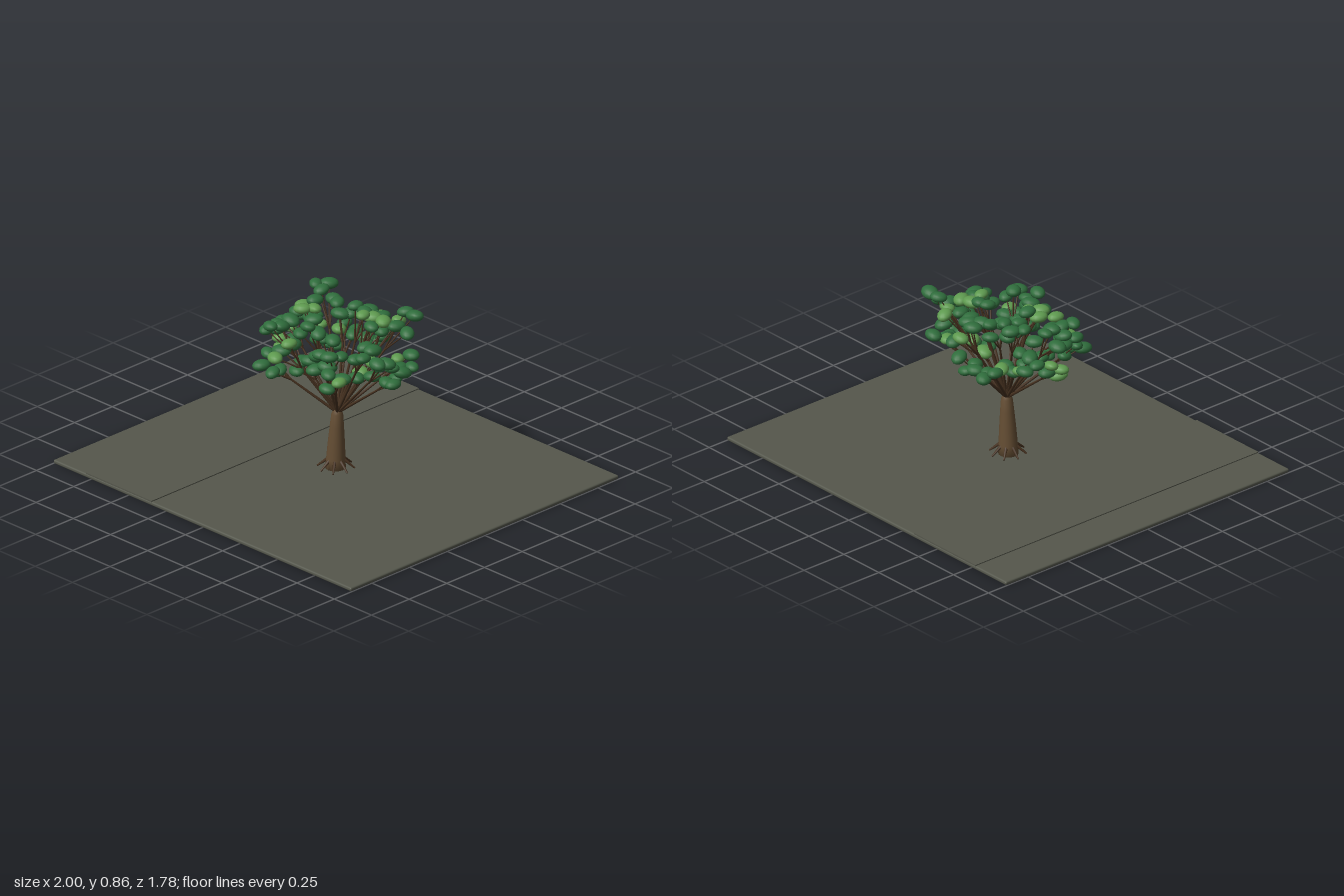
import * as THREE from 'three';
import { RoundedBoxGeometry } from 'three/addons/geometries/RoundedBoxGeometry.js';

const mat = (name, color) => Object.assign(new THREE.MeshStandardMaterial({ color }), { name });
const V = (x, y, z) => new THREE.Vector3(x, y, z);

export function createModel() {
  const tree = new THREE.Group();
  tree.name = 'treeOnGround';
  const soil = mat('grey soil', 0x55574c);
  const bark = mat('trunk bark', 0x644d33);
  const wood = mat('dark branch wood', 0x46311f);
  const darkLeaf = mat('dark green leaf', 0x2f6d3c);
  const lightLeaf = mat('light green leaf', 0x5e9a4f);

  const add = (name, geometry, material, parent = tree) => {
    const mesh = new THREE.Mesh(geometry, material);
    mesh.name = name;
    parent.add(mesh);
    return mesh;
  };
  const group = (name) => {
    const g = new THREE.Group();
    g.name = name;
    tree.add(g);
    return g;
  };
  // Tapered stick between two points
  const stick = (name, a, b, ra, rb, parent) => {
    const dir = b.clone().sub(a);
    const mesh = add(name, new THREE.CylinderGeometry(rb, ra, dir.length(), 7), wood, parent);
    mesh.position.copy(a).lerp(b, 0.5);
    mesh.quaternion.setFromUnitVectors(V(0, 1, 0), dir.normalize());
  };
  let seed = 11;
  const rand = () => (seed = (seed * 16807) % 2147483647) / 2147483647;
  const spread = (r) => (rand() * 2 - 1) * r;

  // Ground slab with a slightly raised strip
  add('ground', new RoundedBoxGeometry(2, 0.02, 1.78, 2, 0.008), soil).position.y = 0.01;
  add('raisedStrip', new THREE.BoxGeometry(0.44, 0.012, 1.775), soil).position.set(-0.56, 0.019, 0);

  // Trunk, leaning slightly as it rises
  const profile = [[0, 0.015], [0.049, 0.015], [0.046, 0.07], [0.041, 0.15], [0.034, 0.24],
    [0.028, 0.305], [0.012, 0.335], [0, 0.337]].map(([r, y]) => new THREE.Vector2(r, y));
  const trunk = new THREE.LatheGeometry(profile, 16);
  const p = trunk.attributes.position;
  for (let i = 0; i < p.count; i++) p.setX(i, p.getX(i) - 0.004 + 0.04 * p.getY(i));
  trunk.computeVertexNormals();
  add('trunk', trunk, bark);

  // Surface roots around the base
  const roots = group('roots');
  for (let i = 0; i < 8; i++) {
    const a = (i / 8) * Math.PI * 2 + 0.15;
    const at = (r, y) => V(Math.cos(a) * r, y, Math.sin(a) * r);
    stick('root', at(0.036, 0.068), at(0.09, 0.024), 0.009, 0.004, roots);
  }

  // Leaf clusters: x, y, z, and how many of the four tufts are light
  const clusters = [
    [-0.16, 0.82, 0.02, 3], [0.15, 0.82, -0.09, 3], [0.17, 0.74, -0.19, 2], [-0.35, 0.59, 0, 3],
    [0.15, 0.55, -0.05, 2], [-0.31, 0.66, -0.15, 1], [-0.18, 0.61, -0.26, 1], [0.03, 0.72, -0.25, 1],
    [-0.14, 0.66, 0.2, 2], [-0.24, 0.81, -0.17, 0], [-0.28, 0.72, 0.05, 0], [-0.26, 0.7, 0.15, 0],
    [-0.2, 0.57, 0.24, 0], [-0.08, 0.77, -0.14, 0], [0.04, 0.81, -0.14, 0], [-0.03, 0.6, -0.28, 0],
    [0.27, 0.81, -0.2, 0], [0.27, 0.61, -0.19, 1], [0.34, 0.57, -0.06, 0], [0.34, 0.66, 0.01, 0],
    [0.26, 0.72, 0.07, 0], [0.21, 0.59, 0.22, 1], [0.16, 0.75, 0.19, 0], [0.06, 0.62, 0.15, 0],
    [-0.03, 0.79, 0.14, 0], [-0.1, 0.56, 0.1, 0], [-0.17, 0.59, -0.1, 0],
  ];
  const branches = group('branches');
  const leaves = group('leaves');
  const tuft = new THREE.SphereGeometry(1, 14, 10);
  const fork = V(0.009, 0.31, 0);
  const clamp = THREE.MathUtils.clamp;
  clusters.forEach(([x, y, z, light], c) => {
    const centre = V(x, y, z);
    const split = fork.clone().lerp(centre, 0.68);
    stick('branch', fork, split, 0.008, 0.005, branches);
    for (let i = 0; i < 4; i++) {
      // Tufts sit around the cluster centre, kept inside the crown
      const a = i * Math.PI / 2 + c * 2.4;
      const r = 0.035 + rand() * 0.02;
      const tip = V(clamp(x + Math.cos(a) * r, -0.35, 0.35),
        clamp(y + spread(0.045), 0.535, 0.835),
        clamp(z + Math.sin(a) * r, -0.3, 0.275));
      stick('twig', split, tip, 0.0045, 0.0025, branches);
      const leaf = add('leafTuft', tuft, i < light ? lightLeaf : darkLeaf, leaves);
      const s = 0.88 + rand() * 0.24;
      leaf.position.copy(tip);
      leaf.scale.set(0.044 * s, 0.025 * s, 0.035 * s);
      leaf.rotation.set(spread(0.2), rand() * Math.PI, spread(0.2));
    }
  });
  return tree;
}
